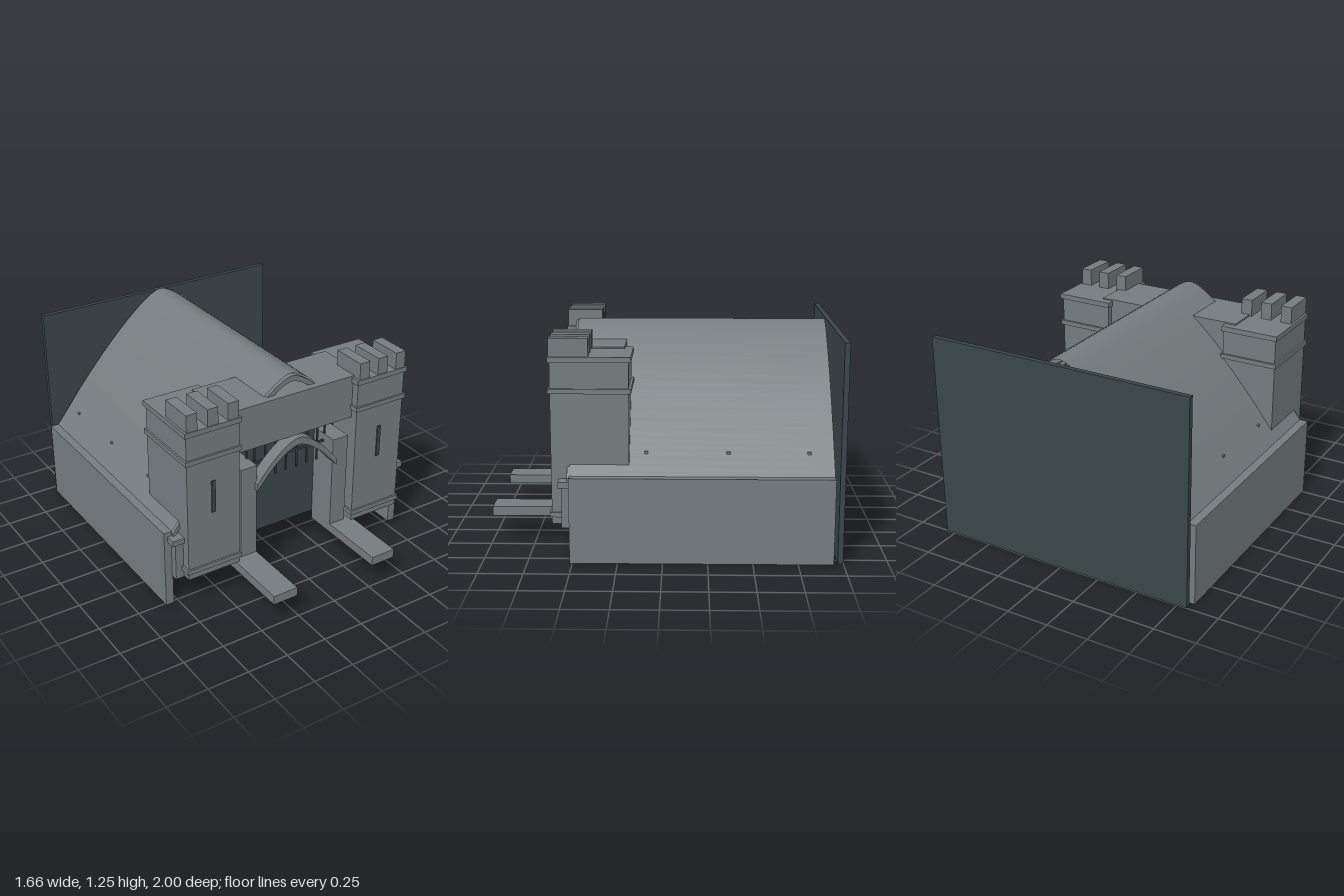
import * as THREE from 'three';

export function createModel() {
  const model = new THREE.Group();
  const stone = new THREE.MeshStandardMaterial({ color: 0x747c7f });
  stone.name = 'stone';
  const shell = new THREE.MeshStandardMaterial({ color: 0x747c7f, side: THREE.DoubleSide });
  shell.name = 'vaultStone';
  const dark = new THREE.MeshStandardMaterial({ color: 0x39464a });
  dark.name = 'darkSlate';

  const add = (name, geo, mat, parent = model) => {
    const m = new THREE.Mesh(geo, mat);
    m.name = name;
    parent.add(m);
    return m;
  };
  // Box given by its extents on each axis
  const box = (name, x0, x1, y0, y1, z0, z1, mat = stone, parent = model) => {
    const g = new THREE.BoxGeometry(x1 - x0, y1 - y0, z1 - z0);
    g.translate((x0 + x1) / 2, (y0 + y1) / 2, (z0 + z1) / 2);
    return add(name, g, mat, parent);
  };
  // Box repeated on both sides
  const pair = (name, x0, x1, ...rest) => {
    box(name + 'Left', x0, x1, ...rest);
    box(name + 'Right', -x1, -x0, ...rest);
  };
  // Full symmetric arch from its right half, listed from base to peak
  const archPoints = (half, n) => {
    const pts = [...half, ...half.slice(0, -1).reverse().map(([x, y]) => [-x, y])];
    return new THREE.SplineCurve(pts.map(([x, y]) => new THREE.Vector2(x, y))).getPoints(n);
  };
  // Arched band between two vertical offsets of one curve
  const archBand = (name, pts, top, bottom, z0, z1) => {
    const outline = [
      ...pts.map(p => new THREE.Vector2(p.x, p.y - top)),
      ...pts.slice().reverse().map(p => new THREE.Vector2(p.x, p.y - bottom)),
    ];
    const g = new THREE.ExtrudeGeometry(new THREE.Shape(outline), { depth: z1 - z0, bevelEnabled: false });
    g.translate(0, 0, z0);
    return add(name, g, stone);
  };

  // Back plate and long side walls
  box('backPlate', -0.81, 0.81, 0, 1.237, -1, -0.97, dark);
  pair('sideWall', 0.78, 0.83, 0, 0.487, -0.947, 0.515);

  // Pointed barrel vault
  const vaultPts = archPoints([[0.78, 0.485], [0.69, 0.598], [0.6, 0.712], [0.45, 0.885],
    [0.3, 1.04], [0.155, 1.168], [0.06, 1.232], [0, 1.25]], 48);
  const vault = new THREE.PlaneGeometry(1, 1, vaultPts.length - 1, 1);
  const pos = vault.attributes.position;
  for (let i = 0; i < pos.count; i++) {
    const p = vaultPts[vaultPts.length - 1 - (i % vaultPts.length)];
    pos.setXYZ(i, p.x, p.y, pos.getY(i) > 0 ? -0.947 : 0.515);
  }
  vault.computeVertexNormals();
  add('vault', vault, shell);

  // Ribs on short wall columns
  [0.53, 0.093, -0.363, -0.81].forEach((z, i) => {
    const rz = i ? z : 0.513;
    archBand('vaultRib', vaultPts, 0.01, 0.045, rz - 0.015, rz + 0.015);
    pair('wallColumn', 0.71, 0.785, 0.19, 0.425, z - 0.035, z + 0.03);
    pair('columnCap', 0.7, 0.808, 0.425, 0.46, z - 0.045, z + 0.045);
    if (i) pair('ribStud', 0.684, 0.694, 0.59, 0.606, z - 0.01, z + 0.01);
  });

  // Gate towers with string courses, battlements and slits
  pair('tower', 0.4, 0.735, 0.2, 1.14, 0.185, 0.617);
  for (const [y0, y1] of [[0.24, 0.268], [0.94, 0.968], [1.112, 1.143]])
    pair('towerBand', 0.39, 0.746, y0, y1, 0.172, 0.628);
  for (const x of [0.407, 0.536, 0.665])
    pair('merlon', x, x + 0.067, 1.14, 1.245, 0.405, 0.622);
  pair('arrowSlit', 0.558, 0.582, 0.6, 0.8, 0.616, 0.624, dark);

  // Gatehouse block and dark door panel
  box('gateLintel', -0.46, 0.46, 0.885, 1.152, 0.22, 0.57);
  box('doorPanel', -0.41, 0.41, 0.2, 0.89, 0.39, 0.4, dark);

  // Door pillars and projecting curbs
  pair('doorPillar', 0.264, 0.37, 0.15, 0.78, 0.4, 0.585);
  pair('curb', 0.264, 0.42, 0.145, 0.2, 0.4, 1);

  // Entrance arch
  const gatePts = archPoints([[0.275, 0.67], [0.23, 0.723], [0.17, 0.788], [0.1, 0.846],
    [0.045, 0.877], [0, 0.888]], 32);
  archBand('entranceArch', gatePts, 0, 0.045, 0.53, 0.61);

  // Raised portcullis
  const gate = new THREE.Group();
  gate.name = 'portcullis';
  model.add(gate);
  for (let i = -3; i <= 3; i++)
    box('bar', i * 0.0727 - 0.005, i * 0.0727 + 0.005, 0.62, 0.85, 0.485, 0.495, dark, gate);
  for (const y of [0.735, 0.85])
    box('crossBar', -0.273, 0.273, y - 0.006, y + 0.006, 0.484, 0.496, dark, gate);
  for (const s of [-1, 1])
    box('endBar', s * 0.27 - 0.005, s * 0.27 + 0.005, 0.73, 0.85, 0.485, 0.495, dark, gate);

  return model;
}
